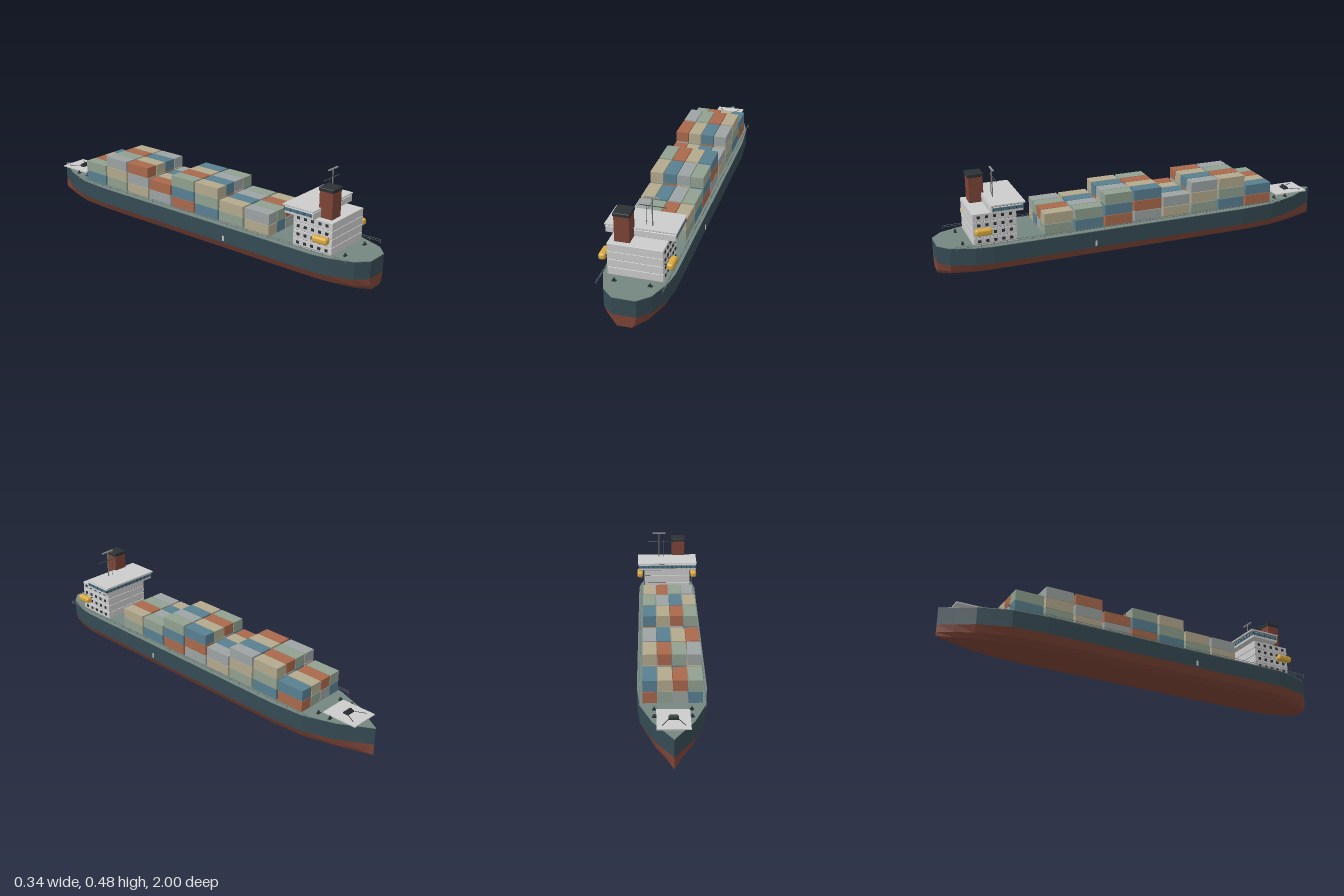
import * as THREE from 'three';
import { RoundedBoxGeometry } from 'three/addons/geometries/RoundedBoxGeometry.js';

const mats = {};
function mat(color, flat = false) {
  const key = color + (flat ? 'f' : '');
  return (mats[key] ??= new THREE.MeshStandardMaterial({ color, flatShading: flat }));
}
const WHITE = 0xcfd1cd, DARK = 0x2b3133, NAVY = 0x354a53, RED = 0x7c4437, DECK = 0x74857f, GLASS = 0x4d7388;

function add(parent, name, geo, color, x = 0, y = 0, z = 0, flat = false) {
  const m = new THREE.Mesh(geo, mat(color, flat));
  m.name = name;
  m.position.set(x, y, z);
  parent.add(m);
  return m;
}
const box = (p, name, color, w, h, d, x, y, z) => add(p, name, new THREE.BoxGeometry(w, h, d), color, x, y, z);
const rounded = (p, name, color, w, h, d, x, y, z, r) =>
  add(p, name, new RoundedBoxGeometry(w, h, d, 2, r), color, x, y, z);
const post = (p, name, color, r, h, x, y, z) =>
  add(p, name, new THREE.CylinderGeometry(r, r, h, 8), color, x, y + h / 2, z);

// Hull stations from bow to stern: [z, half width]
const stations = [[-1, 0.001], [-0.93, 0.042], [-0.85, 0.09], [-0.7, 0.143], [-0.53, 0.157],
  [0.76, 0.157], [0.84, 0.146], [0.95, 0.106], [1, 0.053]];
const DECK_Y = 0.137, WATER_Y = 0.055;

// Skins strips of [width factor, y] points along the stations
function loft(strips) {
  const pos = [], idx = [];
  for (const strip of strips) {
    const base = pos.length / 3, n = strip.length;
    stations.forEach(([z, w], i) => {
      for (const [f, y] of strip) pos.push(f * w, y, z);
      if (i === 0) return;
      for (let j = 0; j < n - 1; j++) {
        const a = base + (i - 1) * n + j, d = a + n;
        idx.push(a, a + 1, d + 1, a, d + 1, d);
      }
    });
  }
  const g = new THREE.BufferGeometry();
  g.setAttribute('position', new THREE.Float32BufferAttribute(pos, 3));
  g.setIndex(idx);
  const flat = g.toNonIndexed();
  flat.computeVertexNormals();
  return flat;
}

function buildHull(ship) {
  const hull = new THREE.Group();
  hull.name = 'hull';
  ship.add(hull);
  const bilge = [[-1, WATER_Y], [-0.87, 0.02], [-0.63, 0], [0.63, 0], [0.87, 0.02], [1, WATER_Y]];
  add(hull, 'lowerHull', loft([bilge]), RED, 0, 0, 0, true);
  add(hull, 'upperHull', loft([[[-1, DECK_Y], [-1, WATER_Y]], [[1, WATER_Y], [1, DECK_Y]]]), NAVY, 0, 0, 0, true);

  // Transom
  const w = stations.at(-1)[1];
  const low = new THREE.Shape(bilge.map(([f, y]) => new THREE.Vector2(f * w, y)));
  add(hull, 'lowerTransom', new THREE.ShapeGeometry(low), RED, 0, 0, 1);
  const high = new THREE.PlaneGeometry(2 * w, DECK_Y - WATER_Y);
  add(hull, 'upperTransom', high, NAVY, 0, (DECK_Y + WATER_Y) / 2, 1);

  // Deck plate following the hull outline
  const right = stations.map(([z, h]) => new THREE.Vector2(h, -z));
  const left = stations.map(([z, h]) => new THREE.Vector2(-h, -z)).reverse();
  const deck = new THREE.ExtrudeGeometry(new THREE.Shape([...right, ...left]), { depth: 0.003, bevelEnabled: false });
  add(hull, 'deck', deck.rotateX(-Math.PI / 2), DECK, 0, DECK_Y, 0);

  for (const s of [-1, 1]) box(hull, 'pilotDoor', WHITE, 0.003, 0.026, 0.01, s * 0.157, 0.077, 0.262);
}

function buildCargo(ship) {
  const cargo = new THREE.Group();
  cargo.name = 'containers';
  ship.add(cargo);
  const colors = [0x90a08f, 0xa9694c, 0xb2a88d, 0x587f90, 0x9ca3a2];
  const tiers = [2, 3, 3, 2, 3, 3, 2, 2];
  const geo = new THREE.BoxGeometry(0.0625, 0.0525, 0.14);
  tiers.forEach((count, bay) => {
    for (let t = 0; t < count; t++) {
      for (let c = 0; c < 4; c++) {
        add(cargo, 'container', geo, colors[(2 * bay + 2 * t + c + 3) % 5],
          (c - 1.5) * 0.0663, 0.17 + t * 0.0545, -0.619 + bay * 0.1508);
      }
    }
  });
}

function buildHouse(ship) {
  const house = new THREE.Group();
  house.name = 'deckhouse';
  ship.add(house);

  // Four storeys with side windows
  box(house, 'houseCore', DARK, 0.244, 0.154, 0.199, 0, 0.216, 0.74);
  for (let f = 0; f < 4; f++) {
    const y = 0.1585 + f * 0.039;
    rounded(house, 'storey', WHITE, 0.25, 0.0378, 0.205, 0, y, 0.74, 0.002);
    for (const s of [-1, 1]) {
      for (let i = 0; i < 5; i++) box(house, 'window', DARK, 0.004, 0.013, 0.014, s * 0.126, y + 0.002, 0.665 + i * 0.0375);
    }
  }

  // Bridge with a window band on the front and sides
  rounded(house, 'bridge', WHITE, 0.315, 0.032, 0.152, 0, 0.313, 0.686, 0.003);
  box(house, 'bridgeWindows', GLASS, 0.318, 0.015, 0.147, 0, 0.317, 0.682);
  for (let i = 0; i <= 12; i++) box(house, 'mullion', DARK, 0.003, 0.015, 0.003, -0.156 + i * 0.026, 0.317, 0.608);
  for (const s of [-1, 1]) {
    for (let i = 0; i < 5; i++) box(house, 'mullion', DARK, 0.003, 0.015, 0.003, s * 0.1585, 0.317, 0.61 + i * 0.035);
  }
  box(house, 'roofSeam', DARK, 0.308, 0.006, 0.145, 0, 0.331, 0.685);
  box(house, 'bridgeRoof', WHITE, 0.322, 0.006, 0.162, 0, 0.336, 0.682);

  // Funnel
  rounded(house, 'funnel', RED, 0.07, 0.126, 0.07, -0.063, 0.357, 0.785, 0.003);
  rounded(house, 'funnelCap', DARK, 0.076, 0.017, 0.076, -0.063, 0.426, 0.785, 0.003);

  // Mast with radar bar and yard
  post(house, 'mast', 0x777b7b, 0.003, 0.136, 0.044, 0.338, 0.725);
  box(house, 'radarBar', 0x8d9191, 0.07, 0.005, 0.008, 0.044, 0.475, 0.725);
  box(house, 'yard', 0x4c5351, 0.124, 0.003, 0.003, 0.044, 0.43, 0.718);
  post(house, 'antenna', 0x555a5a, 0.0012, 0.1, 0.017, 0.338, 0.725);

  // Lifeboats with davit arms
  for (const s of [-1, 1]) {
    rounded(house, 'lifeboat', 0xd8a93e, 0.033, 0.031, 0.08, s * 0.1515, 0.216, 0.8, 0.011);
    for (const z of [0.775, 0.825]) box(house, 'davit', DARK, 0.014, 0.004, 0.004, s * 0.131, 0.222, z);
  }
}

function buildDeckGear(ship) {
  const gear = new THREE.Group();
  gear.name = 'deckGear';
  ship.add(gear);

  // Bow platform with winch and chains
  box(gear, 'bowPlatform', WHITE, 0.144, 0.006, 0.176, 0, 0.151, -0.853);
  box(gear, 'platformBase', DECK, 0.07, 0.01, 0.12, 0, 0.143, -0.84);
  box(gear, 'winchBase', DARK, 0.044, 0.008, 0.026, 0, 0.158, -0.85);
  const drum = add(gear, 'winchDrum', new THREE.CylinderGeometry(0.008, 0.008, 0.036, 12), DARK, 0, 0.163, -0.85);
  drum.rotation.z = Math.PI / 2;
  for (const s of [-1, 1]) {
    const path = new THREE.LineCurve3(new THREE.Vector3(s * 0.017, 0.158, -0.855), new THREE.Vector3(s * 0.05, 0.156, -0.915));
    add(gear, 'anchorChain', new THREE.TubeGeometry(path, 1, 0.0015, 6), DARK);
  }

  // Bollards
  for (const s of [-1, 1]) {
    for (const z of [-0.81, -0.745, 0.885]) {
      box(gear, 'bollardBase', DARK, 0.019, 0.004, 0.012, s * 0.08, 0.142, z);
      post(gear, 'bollardPost', DARK, 0.004, 0.014, s * 0.08, 0.14, z);
    }
  }

  // Side railings
  const z0 = -0.74, z1 = 0.93, n = 28;
  for (const s of [-1, 1]) {
    for (const y of [0.148, 0.156]) box(gear, 'rail', 0x6b7472, 0.0015, 0.0015, z1 - z0, s * 0.145, y, (z0 + z1) / 2);
    for (let i = 0; i <= n; i++) {
      box(gear, 'stanchion', 0x6b7472, 0.0015, 0.018, 0.0015, s * 0.145, 0.147, z0 + (i * (z1 - z0)) / n);
    }
  }
}

export function createModel() {
  const ship = new THREE.Group();
  ship.name = 'containerShip';
  buildHull(ship);
  buildCargo(ship);
  buildHouse(ship);
  buildDeckGear(ship);
  return ship;
}
